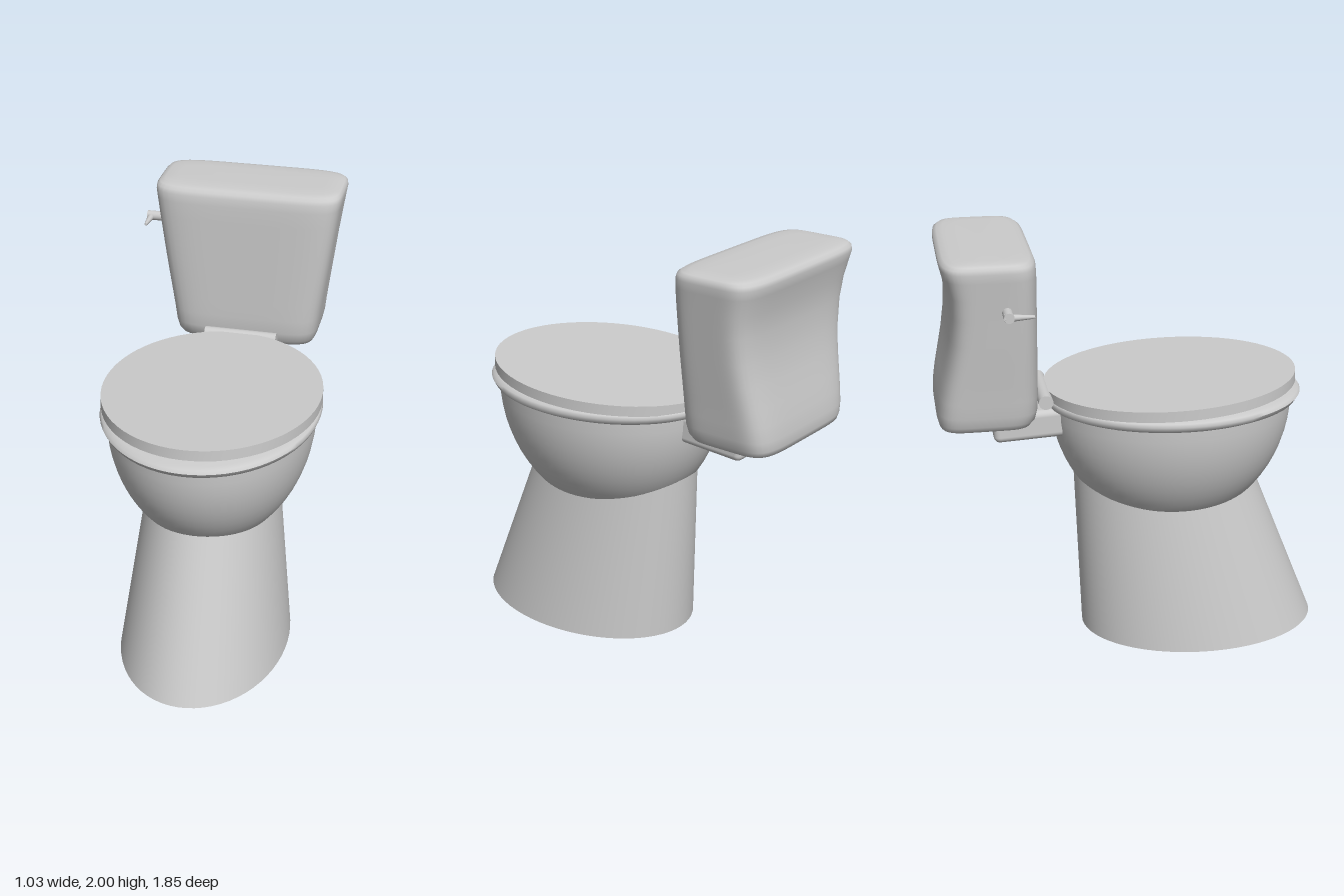
import * as THREE from 'three';
import { toCreasedNormals } from 'three/addons/utils/BufferGeometryUtils.js';
import { RoundedBoxGeometry } from 'three/addons/geometries/RoundedBoxGeometry.js';

const material = new THREE.MeshStandardMaterial({ color: 0xcccccc });

// Closed loft through stacked sections [y, halfWidth, frontZ, backZ];
// power 2 gives ellipses, higher powers give rounded rectangles.
function loft(rows, power = 2, crease = 0.6, segments = 64) {
  const positions = [], index = [];
  for (const [y, rx, front, back] of rows) {
    const cz = (front + back) / 2, rz = (front - back) / 2;
    for (let j = 0; j < segments; j++) {
      const t = (j / segments) * Math.PI * 2, c = Math.cos(t), s = Math.sin(t);
      const r = (Math.abs(c) ** power + Math.abs(s) ** power) ** (-1 / power);
      positions.push(rx * r * c, y, cz + rz * r * s);
    }
  }
  for (let i = 0; i < rows.length - 1; i++) {
    for (let j = 0; j < segments; j++) {
      const k = (j + 1) % segments, a = i * segments, b = a + segments;
      index.push(a + j, b + j, a + k, b + j, b + k, a + k);
    }
  }
  const last = rows.length - 1, n = rows.length * segments;
  for (const i of [0, last]) positions.push(0, rows[i][0], (rows[i][2] + rows[i][3]) / 2);
  for (let j = 0; j < segments; j++) {
    const k = (j + 1) % segments, top = last * segments;
    index.push(n, j, k, n + 1, top + k, top + j);
  }
  const geometry = new THREE.BufferGeometry();
  geometry.setAttribute('position', new THREE.Float32BufferAttribute(positions, 3));
  geometry.setIndex(index);
  return toCreasedNormals(geometry, crease);
}

export function createModel() {
  const group = new THREE.Group();
  const add = (name, geometry, x = 0, y = 0, z = 0) => {
    const mesh = new THREE.Mesh(geometry, material);
    mesh.name = name;
    mesh.position.set(x, y, z);
    group.add(mesh);
    return mesh;
  };

  // Leaning oval foot
  add('pedestal', loft([[0, 0.41, 0.93, -0.24], [0.9, 0.298, 0.57, -0.275]]));

  // Half-ellipsoid bowl
  const bowl = [];
  for (let i = 0; i <= 16; i++) {
    const a = 0.1 + (i / 16) * (Math.PI / 2 - 0.1), r = Math.sin(a);
    bowl.push([1.2 - 0.64 * Math.cos(a), 0.485 * r, 0.2 + 0.58 * r, 0.2 - 0.58 * r]);
  }
  add('bowl', loft(bowl));

  // Rounded rim bead
  add('rim', loft([
    [1.19, 0.48, 0.78, -0.38], [1.202, 0.502, 0.81, -0.405], [1.225, 0.511, 0.825, -0.415],
    [1.24, 0.505, 0.815, -0.41], [1.248, 0.488, 0.79, -0.39],
  ], 2, 0.9));

  // Seat and lid, both tilted up toward the front
  const seat = add('seat', loft([[-0.015, 0.475, 0.55, -0.56], [0.012, 0.475, 0.55, -0.56]]), 0, 1.25, 0.2);
  seat.rotation.x = -0.025;
  const lid = add('lid', loft([[-0.025, 0.508, 0.604, -0.604], [0.025, 0.508, 0.604, -0.604]]), 0, 1.282, 0.195);
  lid.rotation.x = -0.038;

  // Hinge bar
  const hinge = add('hinge', new THREE.CylinderGeometry(0.034, 0.034, 0.36, 24), 0, 1.258, -0.42);
  hinge.rotation.z = Math.PI / 2;

  // Water connector between bowl and tank
  const connector = add('connector', new RoundedBoxGeometry(0.3, 0.14, 0.36, 4, 0.03), 0, 1.132, -0.485);
  connector.rotation.x = -0.05;

  // Tank with a hollowed back and soft edges
  add('tank', loft([
    [1.186, 0.27, -0.58, -0.84], [1.188, 0.31, -0.53, -0.895], [1.2, 0.34, -0.492, -0.917],
    [1.225, 0.352, -0.472, -0.923], [1.27, 0.362, -0.462, -0.921], [1.34, 0.37, -0.46, -0.91],
    [1.42, 0.381, -0.46, -0.893], [1.52, 0.395, -0.46, -0.872], [1.62, 0.409, -0.46, -0.857],
    [1.74, 0.425, -0.46, -0.851], [1.84, 0.439, -0.46, -0.86], [1.92, 0.45, -0.46, -0.879],
    [1.96, 0.456, -0.463, -0.888], [1.98, 0.453, -0.47, -0.885], [1.992, 0.442, -0.487, -0.868],
    [1.998, 0.42, -0.52, -0.84], [2.0, 0.36, -0.58, -0.78],
  ], 5.5, 1.1, 96));

  // Flush handle: shaft out of the tank side, lever pointing forward
  const shaft = add('handleShaft', new THREE.CylinderGeometry(0.023, 0.023, 0.13, 20), -0.45, 1.783, -0.607);
  shaft.rotation.z = Math.PI / 2;
  const lever = add('handleLever', new THREE.CylinderGeometry(0.007, 0.019, 0.13, 16), -0.497, 1.78, -0.56);
  lever.rotation.x = Math.PI / 2;

  return group;
}
